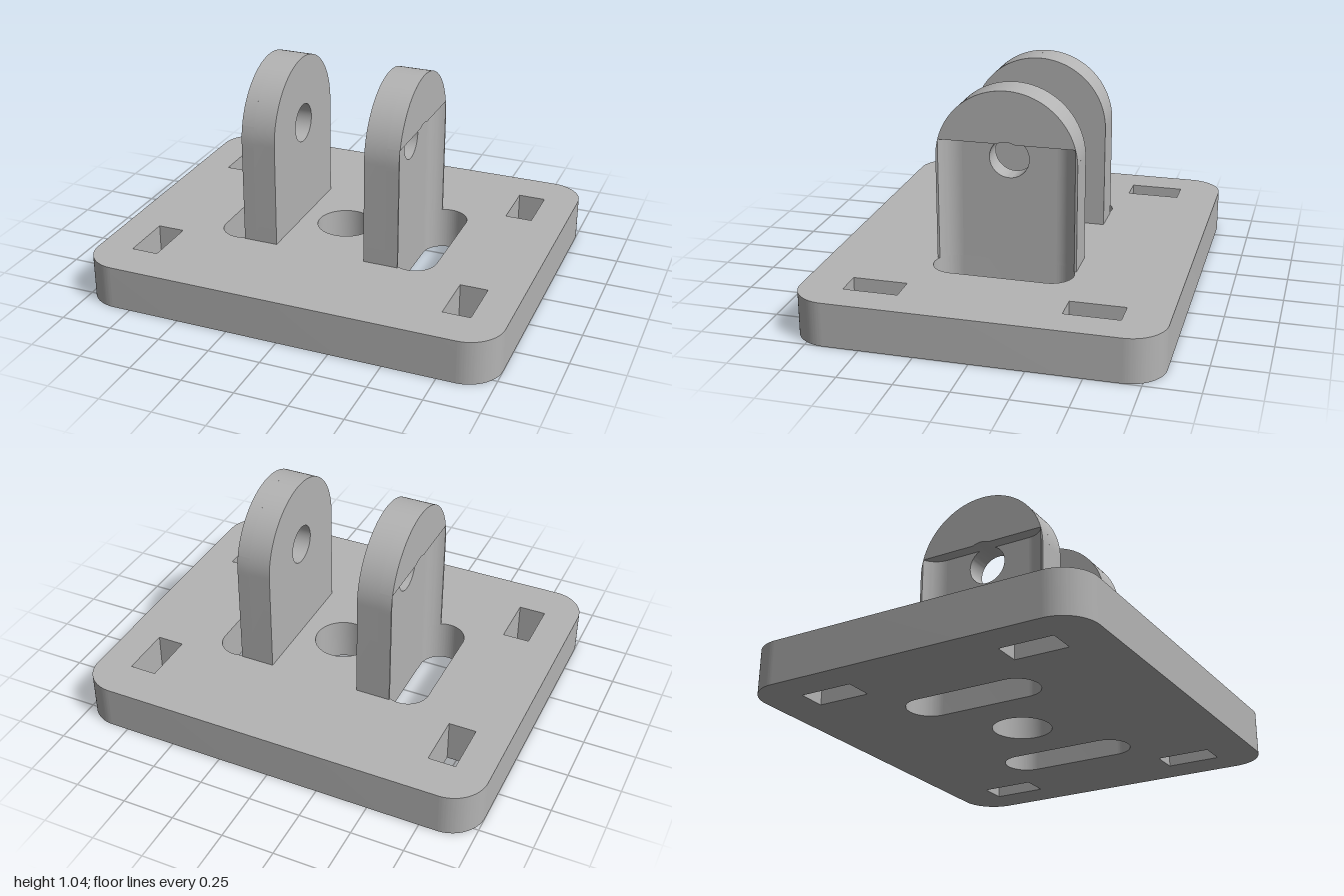
import * as THREE from 'three';
import { toCreasedNormals } from 'three/addons/utils/BufferGeometryUtils.js';

const PLATE_T = 0.208;                                        // plate thickness
const LUG_R = 0.333, PIN_R = 0.094, PIN_Y = 0.708;            // lug rounding and pin hole
const LUG_IN = 0.222, LUG_OUT = 0.389;                        // lug faces in x
const SLOT_R = 0.108, SLOT_X = 0.436, SLOT_Z = 0.225;         // slot with round ends
const RECESS_X = SLOT_X - SLOT_R, RECESS_TOP = 0.792;         // slot cut into the lug

const grey = new THREE.MeshStandardMaterial({ color: 0xb4b4b4 });
grey.name = 'grey';

function extrude(shape, depth, steps = 1) {
  return new THREE.ExtrudeGeometry(shape, { depth, steps, bevelEnabled: false, curveSegments: 32 });
}

function mesh(geometry, name) {
  const m = new THREE.Mesh(toCreasedNormals(geometry, 0.5), grey);
  m.name = name;
  return m;
}

function circle(x, y, r) {
  return new THREE.Path().absarc(x, y, r, 0, Math.PI * 2, true);
}

function createPlate() {
  const X = 1, Z = 0.831, r = 0.167;
  const s = new THREE.Shape();
  s.absarc(X - r, Z - r, r, 0, Math.PI / 2);
  s.absarc(r - X, Z - r, r, Math.PI / 2, Math.PI);
  s.absarc(r - X, r - Z, r, Math.PI, Math.PI * 1.5);
  s.absarc(X - r, r - Z, r, Math.PI * 1.5, Math.PI * 2);
  s.closePath();

  s.holes.push(circle(0, 0, 0.139));
  for (const sx of [-1, 1]) {
    // long slot beside each lug
    const slot = new THREE.Path();
    slot.absarc(sx * SLOT_X, SLOT_Z, SLOT_R, 0, Math.PI);
    slot.absarc(sx * SLOT_X, -SLOT_Z, SLOT_R, Math.PI, Math.PI * 2);
    slot.closePath();
    s.holes.push(slot);
    // rectangular mounting holes
    for (const sz of [-1, 1]) {
      const x = sx * 0.77, z = sz * 0.5, w = 0.065, h = 0.128;
      s.holes.push(new THREE.Path([[-w, -h], [w, -h], [w, h], [-w, h]]
        .map(([a, b]) => new THREE.Vector2(x + a, z + b))));
    }
  }
  return mesh(extrude(s, PLATE_T).rotateX(-Math.PI / 2), 'basePlate');
}

function createLug(name) {
  const lug = new THREE.Group();
  lug.name = name;

  // inner layer: full rounded outline with pin hole
  const body = new THREE.Shape();
  body.moveTo(-LUG_R, PLATE_T);
  body.lineTo(LUG_R, PLATE_T);
  body.absarc(0, PIN_Y, LUG_R, 0, Math.PI);
  body.closePath();
  body.holes.push(circle(0, PIN_Y, PIN_R));
  lug.add(mesh(extrude(body, RECESS_X - LUG_IN).rotateY(Math.PI / 2).translate(LUG_IN, 0, 0), 'lugBody'));

  // outer layer above the recess, notched by the pin hole
  const a = Math.asin((RECESS_TOP - PIN_Y) / LUG_R);
  const b = Math.asin((RECESS_TOP - PIN_Y) / PIN_R);
  const cap = new THREE.Shape();
  cap.absarc(0, PIN_Y, LUG_R, a, Math.PI - a);
  cap.absarc(0, PIN_Y, PIN_R, Math.PI - b, b, true);
  cap.closePath();
  lug.add(mesh(extrude(cap, LUG_OUT - RECESS_X).rotateY(Math.PI / 2).translate(RECESS_X, 0, 0), 'lugCap'));

  // concave side rims left beside the recess
  const end = Math.acos((LUG_OUT - SLOT_X) / SLOT_R);
  for (const side of [-1, 1]) {
    const pts = [new THREE.Vector2(LUG_OUT, side * LUG_R), new THREE.Vector2(RECESS_X, side * LUG_R)];
    for (let i = 0; i <= 12; i++) {
      const t = Math.PI + (end - Math.PI) * i / 12;
      pts.push(new THREE.Vector2(SLOT_X + SLOT_R * Math.cos(t), side * (SLOT_Z + SLOT_R * Math.sin(t))));
    }
    const g = extrude(new THREE.Shape(pts), RECESS_TOP - PLATE_T, 28)
      .rotateX(-Math.PI / 2).translate(0, PLATE_T, 0);
    // follow the rounded outline near the top
    const p = g.attributes.position;
    for (let i = 0; i < p.count; i++) {
      const dy = Math.max(0, p.getY(i) - PIN_Y);
      const max = Math.sqrt(LUG_R * LUG_R - dy * dy);
      p.setZ(i, THREE.MathUtils.clamp(p.getZ(i), -max, max));
    }
    lug.add(mesh(g, side > 0 ? 'backRim' : 'frontRim'));
  }
  return lug;
}

export function createModel() {
  const model = new THREE.Group();
  model.name = 'clevisMount';
  const left = createLug('leftLug');
  const right = createLug('rightLug');
  right.rotation.y = Math.PI;
  model.add(createPlate(), left, right);
  return model;
}
